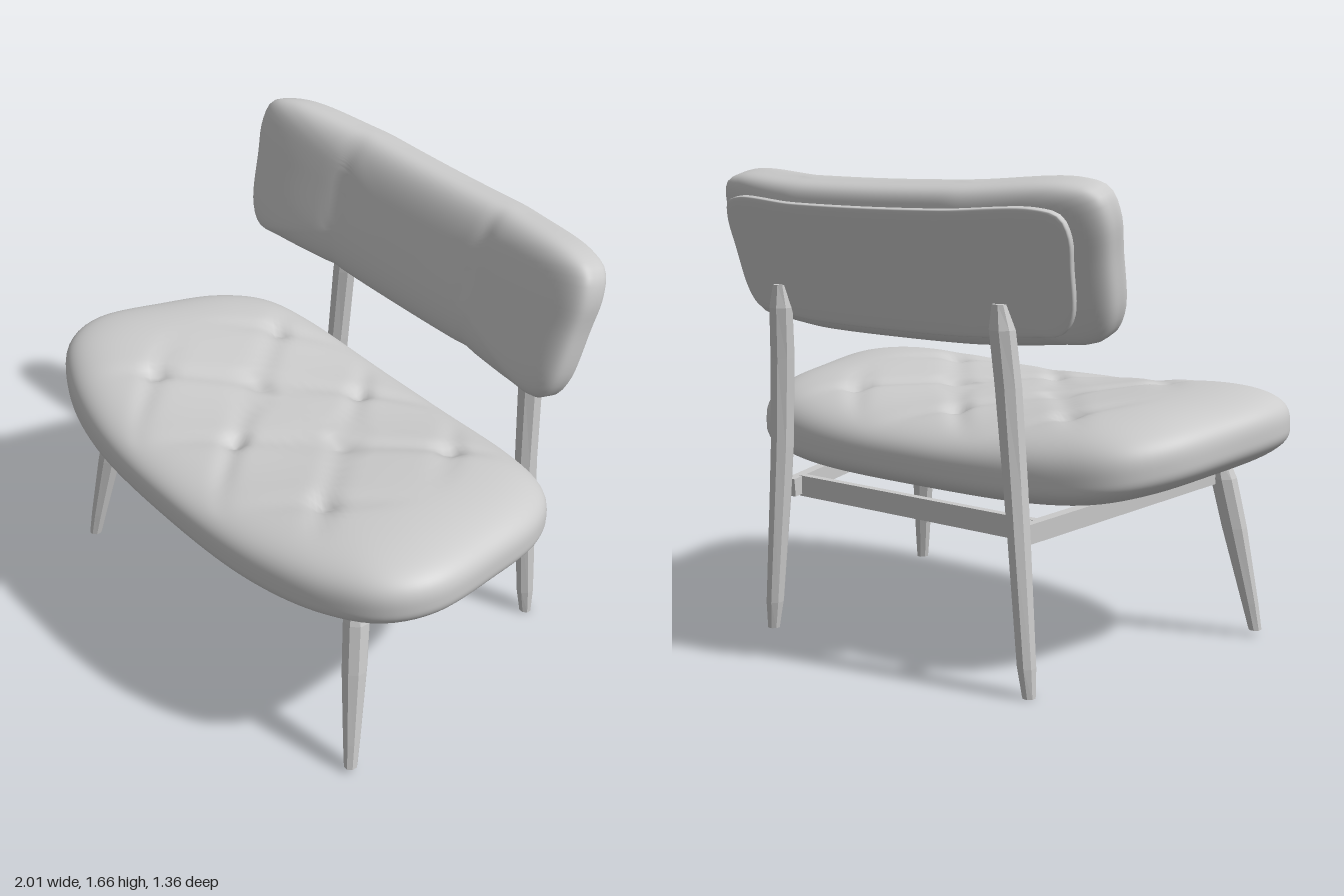
import * as THREE from 'three';

const grey = new THREE.MeshStandardMaterial({ color: 0xcccccc });
const facet = new THREE.MeshStandardMaterial({ color: 0xcccccc, flatShading: true });

function add(parent, name, geometry, material = grey) {
  const mesh = new THREE.Mesh(geometry, material);
  mesh.name = name;
  parent.add(mesh);
  return mesh;
}

// Closed skin over a stack of rings, each running front -> left -> back from the top down
function skin(rings) {
  const n = rings[0].length, index = [];
  for (let j = 0; j < rings.length - 1; j++) {
    for (let i = 0; i < n; i++) {
      const k = (i + 1) % n;
      const a = j * n + i, b = a + n, c = (j + 1) * n + k, d = j * n + k;
      index.push(a, b, c, a, c, d);
    }
  }
  const g = new THREE.BufferGeometry();
  g.setAttribute('position', new THREE.Float32BufferAttribute(rings.flat(2), 3));
  g.setIndex(index);
  g.computeVertexNormals();
  return g;
}

// Mirror half an outline (x >= 0, front to back) and space points along it
function outline(half, count) {
  const other = half.filter(p => p[0] > 0).reverse().map(([x, z]) => [-x, z]);
  const pts = [...half, ...other].map(([x, z]) => new THREE.Vector3(x, 0, z));
  return new THREE.CatmullRomCurve3(pts, true, 'centripetal').getSpacedPoints(count).slice(0, count);
}

// Cushion: domed above and below the rim; place(x, h, z, r) sets each vertex
function pillow(edge, centreZ, top, bottom, nTop, nBottom, steps, place) {
  const rings = [];
  for (let j = -steps; j <= steps; j++) {
    const r = 1 - Math.pow(Math.abs(j) / steps, 2.5);
    const n = j < 0 ? nTop : nBottom;
    const h = Math.pow(1 - r ** n, 1 / n) * (j < 0 ? top : -bottom);
    rings.push(edge.map(p => place(p.x * r, h, centreZ + (p.z - centreZ) * r, r)));
  }
  return skin(rings);
}

// Tapered eight-sided post through stations [x, y, z, radiusX, radiusZ], top first
function post(stations) {
  const first = stations[0], last = stations[stations.length - 1];
  const all = [[...first.slice(0, 3), 0, 0], ...stations, [...last.slice(0, 3), 0, 0]];
  return skin(all.map(([x, y, z, rx, rz]) => Array.from({ length: 8 }, (_, i) => {
    const a = (i + 0.5) * Math.PI / 4;
    return [x + rx * Math.sin(a), y, z + rz * Math.cos(a)];
  })));
}

// Straight bar between two points
function bar(parent, name, from, to, width, height) {
  const a = new THREE.Vector3(...from), b = new THREE.Vector3(...to);
  const mesh = add(parent, name, new THREE.BoxGeometry(width, height, a.distanceTo(b)));
  mesh.position.copy(a).lerp(b, 0.5);
  mesh.lookAt(b);
}

// Depth of the diamond tufting: diagonal creases with a button pit where they cross
function tuft(x, z, r) {
  const a = x / 0.49 + (z + 0.2) / 0.56, b = x / 0.49 - (z + 0.2) / 0.56;
  const da = Math.abs(a - Math.round(a)), db = Math.abs(b - Math.round(b));
  const crease = Math.exp(-((da / 0.1) ** 2)) + Math.exp(-((db / 0.1) ** 2));
  const pit = Math.exp(-(da * da + db * db) / 0.01);
  const fade = 1 - THREE.MathUtils.smoothstep(r, 0.62, 0.95);
  const sideFade = 1 - THREE.MathUtils.smoothstep(Math.abs(x), 0.52, 0.7);
  return (0.01 * crease + 0.025 * pit) * fade * sideFade;
}

export function createModel() {
  const model = new THREE.Group();
  model.name = 'loungeChair';

  // Seat cushion, wide at the front with upswept, fuller sides
  const seatEdge = outline([[0, 0.685], [0.45, 0.66], [0.75, 0.58], [0.93, 0.47], [1, 0.32],
    [0.97, 0.03], [0.91, -0.22], [0.8, -0.37], [0.6, -0.44], [0, -0.47]], 144);
  add(model, 'seatCushion', pillow(seatEdge, 0.08, 0.16, 0.125, 2.8, 3.2, 40, (x, h, z, r) => {
    const rim = 0.703 + 0.07 * z + 0.07 * x ** 4;
    const fuller = 1 + 0.4 * THREE.MathUtils.smoothstep(Math.abs(x), 0.1, 0.85);
    return [x, rim + (h > 0 ? h * fuller - tuft(x, z, r) : h), z];
  }));

  // Backrest: leaning back, flat in the middle, wings angled forward
  const backHalf = [[0, 0.265], [0.36, 0.26], [0.66, 0.24], [0.76, 0.225], [0.81, 0.15],
    [0.835, -0.05], [0.845, -0.17], [0.82, -0.25], [0.73, -0.28], [0.36, -0.265], [0, -0.26]];
  const tilt = 0.27;
  const lean = (x, h, z) => {
    const past = Math.abs(x) - 0.36;
    const wing = 0.1 * (past + Math.hypot(past, 0.03));
    const seam = h > 0 ? 0.006 * Math.exp(-((past / 0.03) ** 2)) : 0;
    return [x, 1.375 - z * Math.cos(tilt) + h * Math.sin(tilt),
      -0.5 + (h - seam) * Math.cos(tilt) + z * Math.sin(tilt) + wing];
  };
  const backEdge = outline(backHalf, 144);
  add(model, 'backrestCushion', pillow(backEdge, 0, 0.125, 0.115, 3.2, 4, 40, lean));
  const panelEdge = outline(backHalf.map(([x, z]) => [x * 0.9, z * 0.8]), 144);
  add(model, 'backrestPanel', pillow(panelEdge, 0, 0.03, 0.012, 6, 6, 16,
    (x, h, z) => lean(x, h - 0.112, z)));

  // Legs and side rails, mirrored
  for (const [s, side] of [[1, 'left'], [-1, 'right']]) {
    add(model, side + 'FrontLeg', post([
      [s * 0.705, 0.65, 0.395, 0.03, 0.035],
      [s * 0.715, 0.58, 0.405, 0.047, 0.047],
      [s * 0.745, 0.4, 0.435, 0.045, 0.045],
      [s * 0.79, 0.12, 0.48, 0.03, 0.031],
      [s * 0.805, 0.02, 0.495, 0.023, 0.025]]), facet);
    add(model, side + 'BackLeg', post([
      [s * 0.495, 1.26, -0.575, 0.025, 0.02],
      [s * 0.5, 1.18, -0.565, 0.045, 0.042],
      [s * 0.513, 1, -0.55, 0.045, 0.045],
      [s * 0.535, 0.68, -0.54, 0.04, 0.045],
      [s * 0.55, 0.5, -0.54, 0.037, 0.043],
      [s * 0.585, 0.1, -0.545, 0.032, 0.034],
      [s * 0.595, 0, -0.545, 0.023, 0.022]]), facet);
    bar(model, side + 'SideRail', [s * 0.69, 0.595, 0.38], [s * 0.54, 0.52, -0.5], 0.04, 0.065);
  }

  // Cross rails under the seat
  bar(model, 'frontRail', [-0.66, 0.575, 0.29], [0.66, 0.575, 0.29], 0.03, 0.06);
  bar(model, 'backRail', [-0.54, 0.52, -0.44], [0.54, 0.52, -0.44], 0.03, 0.075);

  return model;
}
